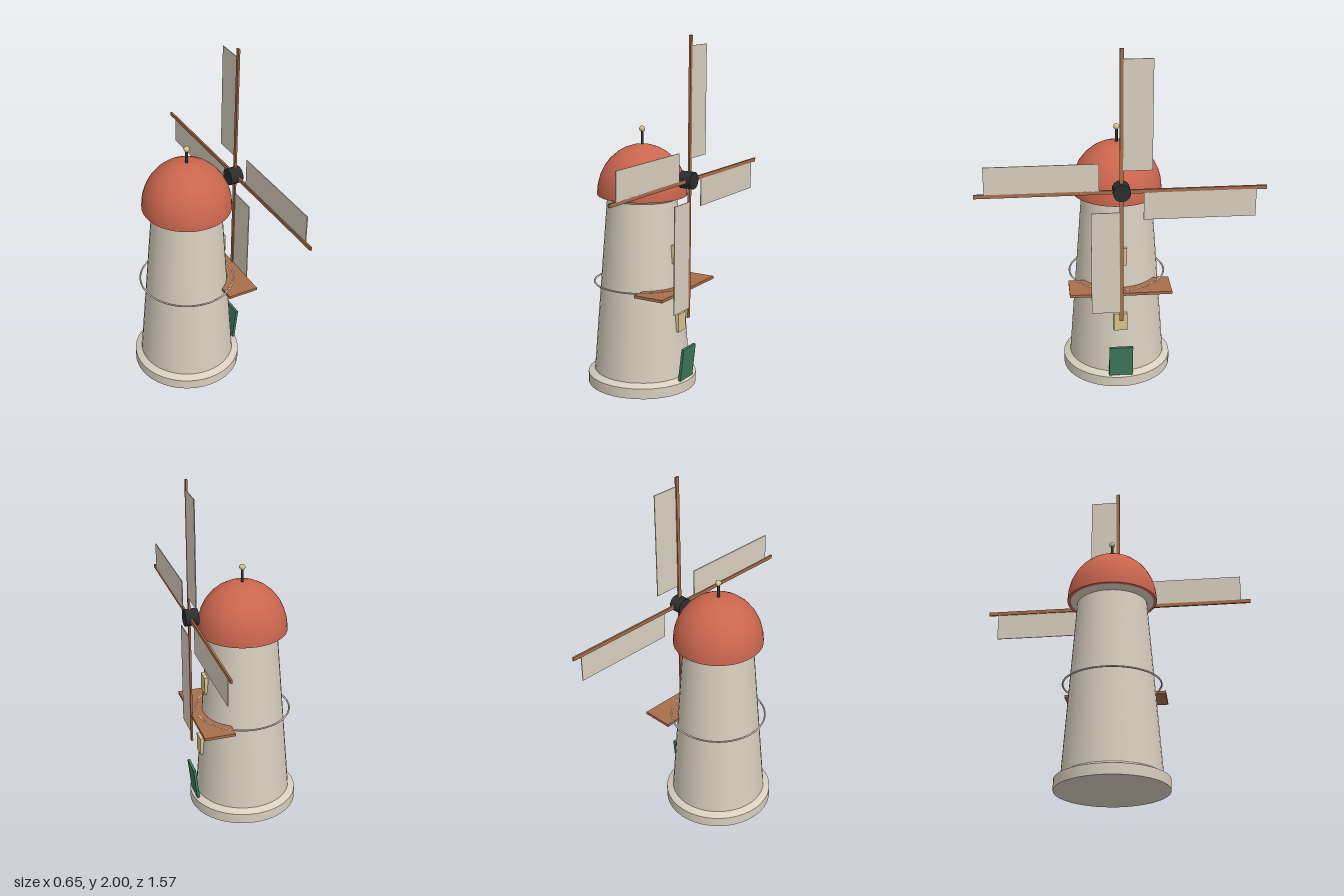
import * as THREE from 'three';
import { toCreasedNormals } from 'three/addons/utils/BufferGeometryUtils.js';

const paint = (name, color) => {
  const m = new THREE.MeshStandardMaterial({ color });
  m.name = name;
  return m;
};

export function createModel() {
  const cream = paint('cream plaster', 0xd8cfbf);
  const red = paint('terracotta red', 0xcb664e);
  const wood = paint('brown wood', 0xa86e4b);
  const green = paint('door green', 0x3f7a5c);
  const yellow = paint('window yellow', 0xd8c48e);
  const black = paint('iron black', 0x2c2d2f);

  const model = new THREE.Group();
  model.name = 'windmill';
  const AXIS = -0.0125; // x of the tower's centre line

  const add = (name, geometry, material, x, y, z, parent = model) => {
    const mesh = new THREE.Mesh(geometry, material);
    mesh.name = name;
    mesh.position.set(x, y, z);
    parent.add(mesh);
    return mesh;
  };
  // Turned shape with crisp edges; profile is [radius, height], bottom to top
  const turned = (name, profile, material, angle = 0.4) => {
    const points = profile.map(([r, y]) => new THREE.Vector2(r, y));
    const geometry = toCreasedNormals(new THREE.LatheGeometry(points, 40), angle);
    return add(name, geometry, material, AXIS, 0, 0);
  };

  // Tower
  turned('base', [[0, 0], [0.3125, 0], [0.3125, 0.06], [0.275, 0.08]], cream);
  turned('tower', [[0.275, 0.078], [0.198, 1.09]], cream);
  turned('collar', [[0.198, 1.085], [0.207, 1.09], [0.235, 1.105]], cream);

  // Domed cap with a flat underside
  const dome = [[0.19, 1.105], [0.254, 1.105]];
  const STEPS = 8;
  for (let i = 0; i <= STEPS; i++) {
    const a = (i / STEPS) * Math.PI / 2;
    dome.push([0.254 * Math.cos(a), 1.115 + 0.275 * Math.sin(a)]);
  }
  turned('cap', dome, red, 0.6);

  // Finial
  add('finialPole', new THREE.CylinderGeometry(0.008, 0.008, 0.1, 12), black, AXIS, 1.42, 0);
  add('finialBall', new THREE.SphereGeometry(0.017, 16, 12), yellow, AXIS, 1.475, 0);

  // Gallery platform and its hoop
  add('platform', new THREE.BoxGeometry(0.18, 0.016, 0.57), wood, 0.205, 0.595, 0);
  const hoop = add('hoop', new THREE.TorusGeometry(0.272, 0.005, 8, 64), cream, AXIS, 0.6, 0);
  hoop.rotation.x = Math.PI / 2;

  // Door and windows
  const door = add('door', new THREE.BoxGeometry(0.015, 0.192, 0.135), green, 0.288, 0.163, 0);
  door.rotation.z = -0.11;
  add('lowerWindow', new THREE.BoxGeometry(0.03, 0.105, 0.076), yellow, 0.239, 0.397, 0);
  add('upperWindow', new THREE.BoxGeometry(0.03, 0.105, 0.076), yellow, 0.207, 0.79, 0);

  // Sails: hub plus four arms turned about the x axis
  const sails = new THREE.Group();
  sails.name = 'sails';
  sails.position.set(0.294, 1.215, 0);
  model.add(sails);
  const hub = add('hub', new THREE.CylinderGeometry(0.048, 0.048, 0.075, 20), black, -0.009, 0, 0, sails);
  hub.rotation.z = Math.PI / 2;
  for (let i = 0; i < 4; i++) {
    const arm = new THREE.Group();
    arm.name = 'sailArm';
    arm.rotation.x = i * Math.PI / 2;
    sails.add(arm);
    add('spar', new THREE.BoxGeometry(0.011, 0.785, 0.021), wood, 0, 0.3925, 0, arm);
    add('sailPanel', new THREE.BoxGeometry(0.005, 0.61, 0.157), cream, 0.003, 0.425, -0.0865, arm);
  }
  return model;
}
